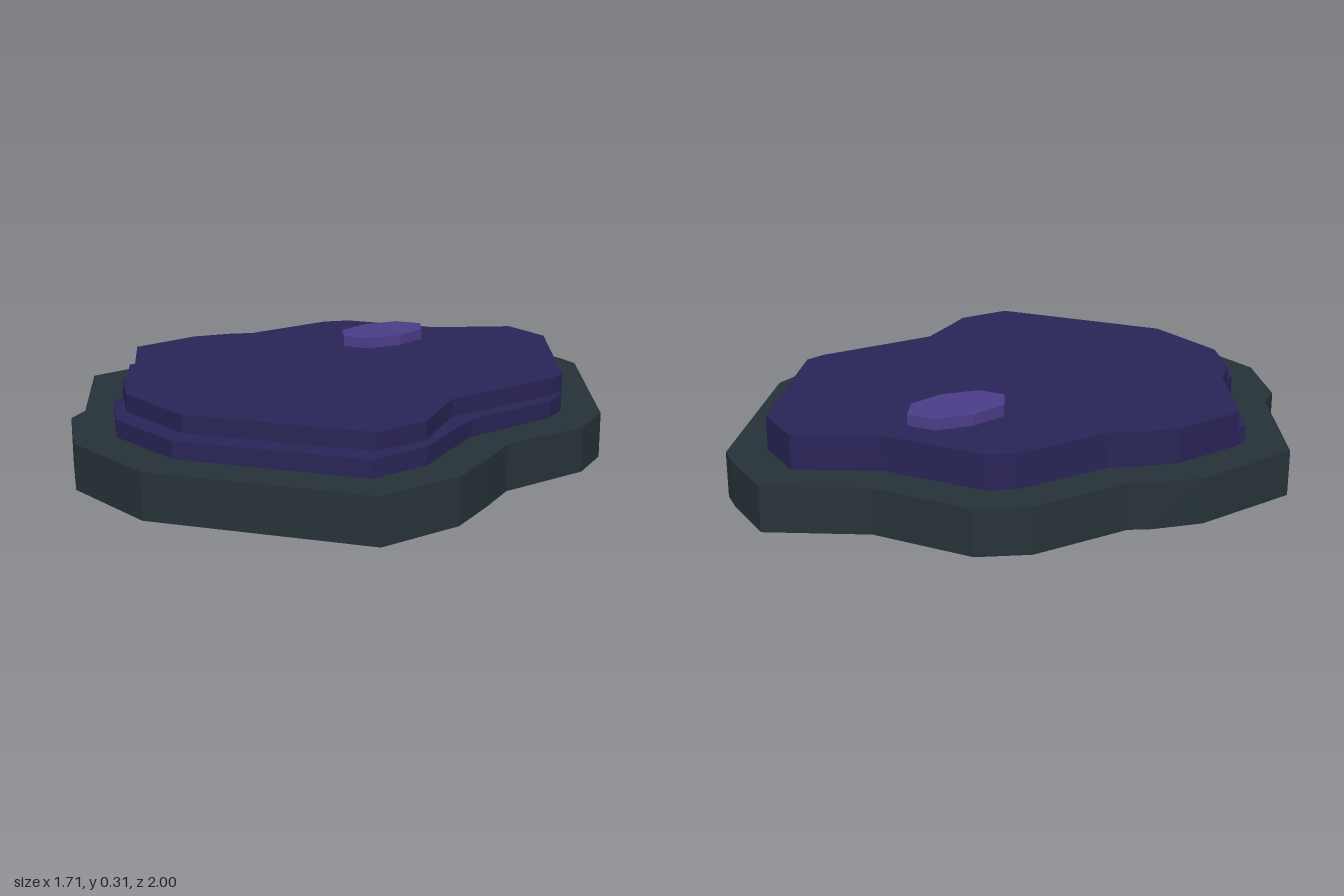
import * as THREE from 'three';
import { mergeGeometries } from 'three/addons/utils/BufferGeometryUtils.js';

const paint = (name, color) => {
  const m = new THREE.MeshStandardMaterial({ color, side: THREE.DoubleSide, flatShading: true });
  m.name = name;
  return m;
};

// Open-bottomed slab: a flat lid at height y and straight walls down to the ground.
// The outline is a list of [x, z] corners, clockwise seen from above.
function slab(name, outline, y, material) {
  const shape = new THREE.Shape(outline.map(([x, z]) => new THREE.Vector2(x, -z)));
  const lid = new THREE.ShapeGeometry(shape).toNonIndexed();
  lid.rotateX(-Math.PI / 2).translate(0, y, 0);
  lid.deleteAttribute('uv');

  const pos = [];
  outline.forEach(([ax, az], i) => {
    const [bx, bz] = outline[(i + 1) % outline.length];
    pos.push(ax, y, az, bx, y, bz, bx, 0, bz);
    pos.push(ax, y, az, bx, 0, bz, ax, 0, az);
  });
  const walls = new THREE.BufferGeometry();
  walls.setAttribute('position', new THREE.Float32BufferAttribute(pos, 3));
  walls.computeVertexNormals();

  const mesh = new THREE.Mesh(mergeGeometries([lid, walls]), material);
  mesh.name = name;
  return mesh;
}

export function createModel() {
  const group = new THREE.Group();
  group.name = 'steppedPool';
  const stone = paint('dark slate', 0x263238);
  const water = paint('deep indigo', 0x282456);
  const glow = paint('violet', 0x4b3c88);

  // Outer stone rim
  const rim = [
    [-0.22, -1], [0, -1], [0.085, -0.99], [0.62, -0.59], [0.7, -0.43], [0.7, -0.1],
    [0.77, 0.04], [0.85, 0.22], [0.85, 0.51], [0.26, 0.96], [-0.11, 1], [-0.37, 0.885],
    [-0.42, 0.81], [-0.82, 0.58], [-0.855, 0.21], [-0.81, 0.05], [-0.775, -0.02],
    [-0.775, -0.36], [-0.7, -0.52], [-0.41, -0.71],
  ];
  // Lower indigo layer
  const lower = [
    [-0.11, -0.83], [0.06, -0.83], [0.52, -0.5], [0.56, -0.41], [0.57, -0.06],
    [0.64, 0.09], [0.71, 0.23], [0.715, 0.44], [0.21, 0.825], [-0.09, 0.86],
    [-0.28, 0.77], [-0.34, 0.69], [-0.69, 0.5], [-0.69, 0.22], [-0.66, 0.1],
    [-0.61, 0.02], [-0.61, -0.32], [-0.57, -0.4], [-0.28, -0.59],
  ];
  // Upper indigo layer
  const upper = [
    [-0.155, -0.865], [0.04, -0.865], [0.49, -0.53], [0.51, -0.46], [0.51, -0.03],
    [0.6, 0.11], [0.655, 0.19], [0.655, 0.38], [0.16, 0.76], [-0.15, 0.79],
    [-0.33, 0.71], [-0.4, 0.63], [-0.7, 0.46], [-0.72, 0.21], [-0.68, 0.08],
    [-0.64, 0], [-0.64, -0.33], [-0.6, -0.42], [-0.31, -0.62],
  ];
  // Small raised spot
  const spot = [
    [-0.268, -0.515], [-0.19, -0.46], [-0.16, -0.335], [-0.19, -0.21],
    [-0.268, -0.16], [-0.35, -0.21], [-0.375, -0.335], [-0.35, -0.46],
  ];

  group.add(
    slab('stoneRim', rim, 0.155, stone),
    slab('lowerLayer', lower, 0.213, water),
    slab('upperLayer', upper, 0.272, water),
    slab('raisedSpot', spot, 0.31, glow),
  );
  return group;
}
